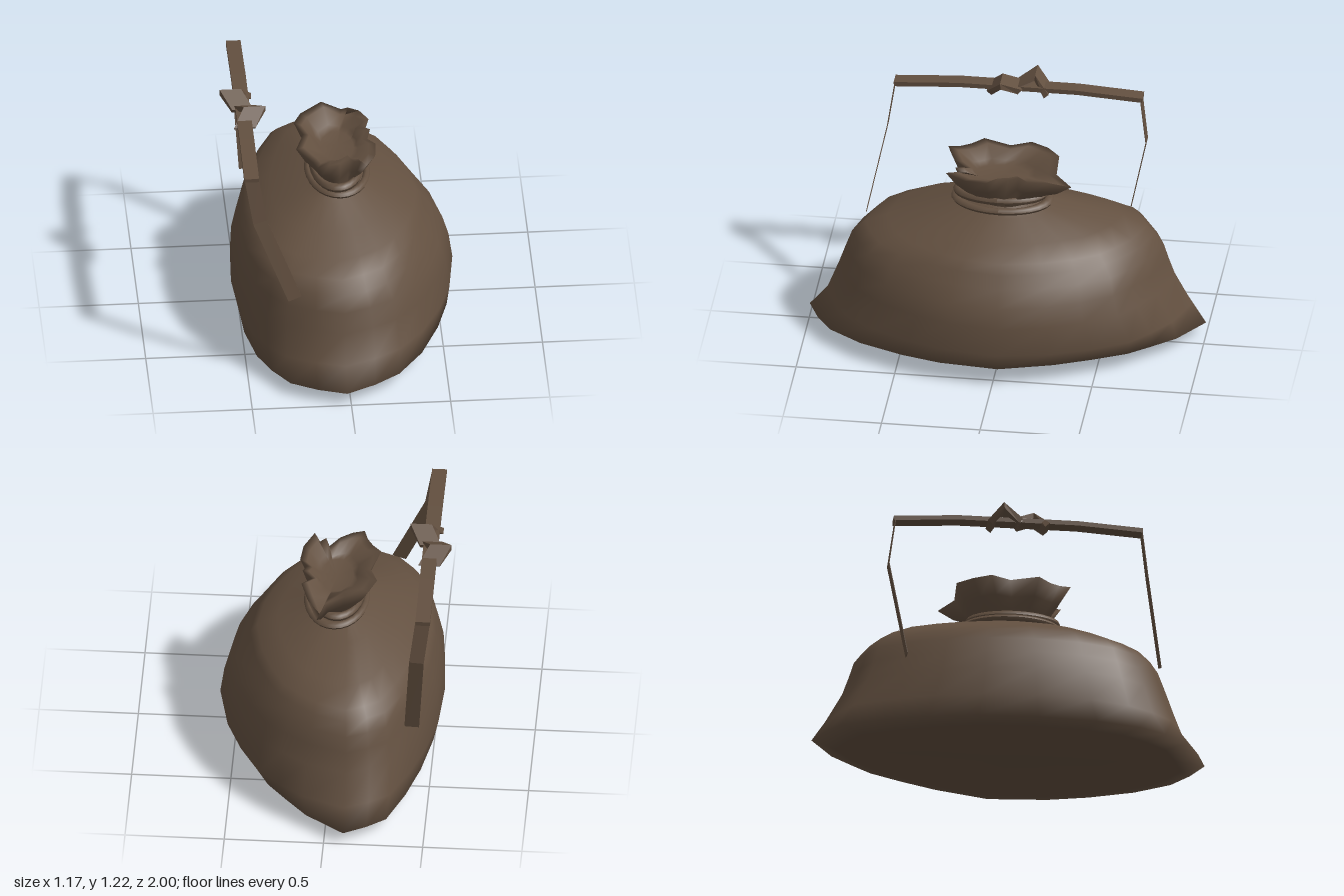
import * as THREE from 'three';
import { mergeVertices } from 'three/addons/utils/BufferGeometryUtils.js';

const V = (x, y, z) => new THREE.Vector3(x, y, z);

// Skin a stack of closed rings (each counter-clockwise from above, bottom to top)
function loft(rings) {
  const n = rings[0].length, index = [];
  for (let r = 0; r < rings.length - 1; r++) {
    for (let i = 0; i < n; i++) {
      const a = r * n + i, b = r * n + (i + 1) % n;
      index.push(a, b, b + n, a, b + n, a + n);
    }
  }
  let geo = new THREE.BufferGeometry().setFromPoints(rings.flat());
  geo.setIndex(index);
  geo = mergeVertices(geo);
  geo.computeVertexNormals();
  return geo;
}

// Flat strip along a path: width runs across x, thickness across the y-z plane
function ribbon(path, width, thick, square = true) {
  const corners = path.map((p, i) => {
    const t = path[Math.min(i + 1, path.length - 1)].clone().sub(path[Math.max(i - 1, 0)]).normalize();
    const w = V(1, 0, 0);
    if (square) w.addScaledVector(t, -t.x).normalize();
    const h = t.clone().cross(w).normalize().multiplyScalar(thick / 2);
    w.multiplyScalar(width / 2);
    return [[1, 1], [-1, 1], [-1, -1], [1, -1]].map(([a, b]) =>
      p.clone().addScaledVector(w, a).addScaledVector(h, b));
  });
  const tris = [];
  const quad = (a, b, c, d) => tris.push(a, b, c, a, c, d);
  for (let i = 0; i < corners.length - 1; i++) {
    for (let k = 0; k < 4; k++) {
      const m = (k + 1) % 4;
      quad(corners[i][k], corners[i][m], corners[i + 1][m], corners[i + 1][k]);
    }
  }
  const s = corners[0], e = corners[corners.length - 1];
  quad(s[3], s[2], s[1], s[0]);
  quad(e[0], e[1], e[2], e[3]);
  const geo = new THREE.BufferGeometry().setFromPoints(tris);
  geo.computeVertexNormals();
  return geo;
}

export function createModel() {
  const group = new THREE.Group();
  const brown = new THREE.MeshStandardMaterial({ color: 0x635040, side: THREE.DoubleSide });
  brown.name = 'brown cloth';
  const add = (name, geo) => {
    const mesh = new THREE.Mesh(geo, brown);
    mesh.name = name;
    group.add(mesh);
    return mesh;
  };

  // Sack outline seen from above [x, z], counter-clockwise from the front tip
  const plan = [
    [-0.02, 1], [0.13, 0.94], [0.26, 0.86], [0.39, 0.69], [0.49, 0.47], [0.55, 0.27], [0.585, -0.03],
    [0.53, -0.32], [0.45, -0.53], [0.35, -0.72], [0.24, -0.82], [0.11, -0.92], [-0.1, -1],
    [-0.22, -0.94], [-0.32, -0.87], [-0.41, -0.66], [-0.475, -0.45], [-0.525, -0.2], [-0.54, 0.1],
    [-0.52, 0.4], [-0.47, 0.62], [-0.4, 0.76], [-0.31, 0.88], [-0.17, 0.95],
  ];
  // Sack levels [y, lift on the +x side, xMin, xMax, zMax, zMin]
  const levels = [
    [0.012, 0.06, -0.46, 0.46, 0.88, -0.88],
    [0.068, 0.035, -0.515, 0.568, 1.0, -1.0],
    [0.175, 0.015, -0.54, 0.585, 0.91, -0.93],
    [0.33, 0, -0.535, 0.565, 0.85, -0.845],
    [0.43, 0, -0.515, 0.535, 0.815, -0.81],
    [0.51, 0, -0.495, 0.475, 0.785, -0.785],
    [0.57, 0, -0.475, 0.435, 0.72, -0.74],
    [0.615, 0, -0.425, 0.4, 0.61, -0.7],
    [0.675, 0, -0.335, 0.3, 0.45, -0.58],
    [0.74, 0, -0.2, 0.155, 0.28, -0.3],
    [0.775, 0, -0.1, 0.1, 0.19, -0.16],
  ];
  const bodyRings = levels.map(([y, lift, x0, x1, z1, z0], k) => plan.map(([px, pz]) => {
    const cx = -0.06;
    const side = px > cx ? (px - cx) / 0.645 : (px - cx) / 0.48;
    // the lower hem tucks in at the back corner of the +x side
    const tuck = k < 2 && side > 0 && pz < 0 ? 1 - 0.2 * side * -pz : 1;
    const x = cx + side * tuck * (side > 0 ? x1 - cx : cx - x0);
    const endLift = k === 0 ? 0.015 * pz * pz + (side < 0 ? 0.03 * side * side : 0) : 0;
    return V(x, y + lift * Math.max(0, side) + endLift, pz * tuck * (pz > 0 ? z1 : -z0));
  }));
  const base = plan.map(() => V(-0.13, 0, 0));
  add('sackBody', loft([base, ...bodyRings]));

  // Cord wound twice around the neck
  [[0, 0.778, 0.02, 0.148, 0.232, 0.018], [-0.005, 0.812, 0.03, 0.122, 0.215, 0.022]].forEach(
    ([x, y, z, rx, rz, tube], i) => {
      const geo = new THREE.TorusGeometry(1, 0.12, 8, 28);
      geo.rotateX(Math.PI / 2).scale(rx, tube / 0.12, rz);
      geo.computeVertexNormals();
      const cord = add('neckCord' + (i + 1), geo);
      cord.position.set(x, y, z);
      cord.rotation.z = i ? 0.03 : -0.02;
    });

  // Gathered mouth: crumpled rim [x, y, z], counter-clockwise from the front
  const rim = [
    [-0.06, 0.98, 0.29], [0, 0.97, 0.26], [0.05, 0.96, 0.2], [0.07, 0.97, 0.25], [0.105, 0.96, 0.23],
    [0.13, 0.97, 0.29], [0.18, 0.96, 0.19], [0.19, 0.96, 0.08], [0.15, 0.96, 0.03], [0.17, 0.975, -0.03],
    [0.12, 0.965, -0.08], [0.17, 0.97, -0.13], [0.13, 0.95, -0.24], [0.08, 0.905, -0.34],
    [0.04, 0.95, -0.26], [-0.06, 1.0, -0.26], [-0.17, 0.98, -0.19], [-0.21, 0.985, -0.1],
    [-0.17, 0.98, 0], [-0.215, 0.985, 0.14], [-0.17, 0.975, 0.2], [-0.14, 0.975, 0.25], [-0.12, 0.98, 0.31],
  ].map(p => V(...p));
  const oval = (y, k) => rim.map(p => {
    const a = Math.atan2(p.x / 0.2, p.z / 0.3);
    return V(0.11 * k * Math.sin(a), y, 0.02 + 0.18 * k * Math.cos(a));
  });
  const neck = oval(0.8, 1), floor = oval(0.915, 0.75);
  const mix = (a, b, t) => a.map((p, i) => p.clone().lerp(b[i], t));
  const inner = rim.map(p => V(p.x * 0.82, p.y - 0.005, p.z * 0.84));
  const middle = mix(neck, rim, 0.6);
  middle.forEach(p => { p.y -= 0.012; });
  const centre = rim.map(() => V(0, 0.915, 0.01));
  add('gatheredMouth', loft([neck, mix(neck, rim, 0.25), middle, rim, inner, mix(inner, floor, 0.7), floor, centre]));

  // Carrying strap: two thin hanging bands and a thicker top band
  add('frontStrap', ribbon([V(-0.475, 1.14, 0.625), V(-0.435, 0.9, 0.66), V(-0.265, 0.487, 0.745)], 0.072, 0.004));
  add('backStrap', ribbon([V(-0.475, 1.14, -0.62), V(-0.445, 0.9, -0.652), V(-0.415, 0.42, -0.555)], 0.074, 0.004));
  add('topStrap', ribbon([[0.63, 1.132], [0.3, 1.153], [0, 1.153], [-0.3, 1.153], [-0.63, 1.132]]
    .map(([z, y]) => V(-0.475, y, z)), 0.074, 0.024));

  // Knot: two folded tabs leaning opposite ways
  for (const s of [1, -1]) {
    add(s > 0 ? 'frontKnotTab' : 'backKnotTab', ribbon([
      V(-0.475, 1.145, -0.01 * s), V(-0.475 + 0.055 * s, 1.2, 0.08 * s), V(-0.475, 1.128, 0.145 * s),
    ], 0.108, 0.032, false));
  }
  return group;
}
